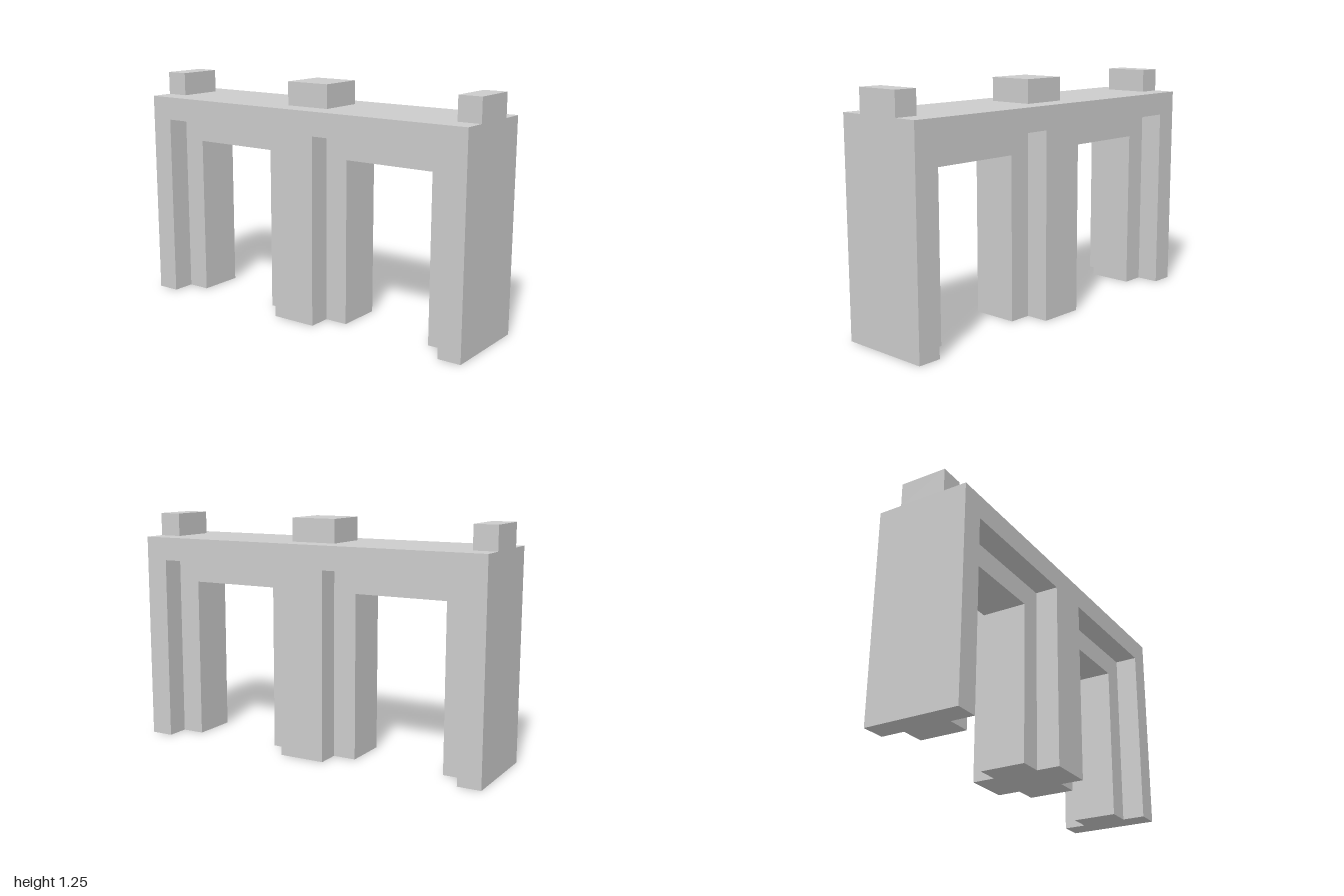
import * as THREE from 'three';

const material = new THREE.MeshStandardMaterial({ color: 0xcccccc, flatShading: true });

// Upright profile with doorways open at the ground; each opening is [x0, x1, height]
function portal(name, x0, x1, height, openings, depth) {
  const points = [[x0, 0]];
  for (const [a, b, h] of openings) points.push([a, 0], [a, h], [b, h], [b, 0]);
  points.push([x1, 0], [x1, height], [x0, height]);
  const shape = new THREE.Shape(points.map(([x, y]) => new THREE.Vector2(x, y)));
  const geometry = new THREE.ExtrudeGeometry(shape, { depth, bevelEnabled: false });
  geometry.translate(0, 0, -depth / 2);
  const mesh = new THREE.Mesh(geometry, material);
  mesh.name = name;
  return mesh;
}

function merlon(name, x, width) {
  const mesh = new THREE.Mesh(new THREE.BoxGeometry(width, 0.125, 0.25), material);
  mesh.position.set(x, 1.1875, 0);
  mesh.name = name;
  return mesh;
}

export function createModel() {
  const group = new THREE.Group();
  group.name = 'doubleArchway';

  // Full-depth wall with two doorways
  group.add(portal('wall', -1, 1, 1.125, [[-0.875, -0.125, 1], [0.125, 0.875, 1]], 0.5));

  // Thinner recessed frame lining each doorway
  for (const [side, c] of [['right', -0.5], ['left', 0.5]]) {
    group.add(portal(side + 'DoorFrame', c - 0.375, c + 0.375, 1, [[c - 0.25, c + 0.25, 0.875]], 0.25));
  }

  // Blocks along the top: full one in the middle, half ones at the ends
  group.add(
    merlon('rightMerlon', -0.9375, 0.125),
    merlon('middleMerlon', 0, 0.25),
    merlon('leftMerlon', 0.9375, 0.125)
  );
  return group;
}
